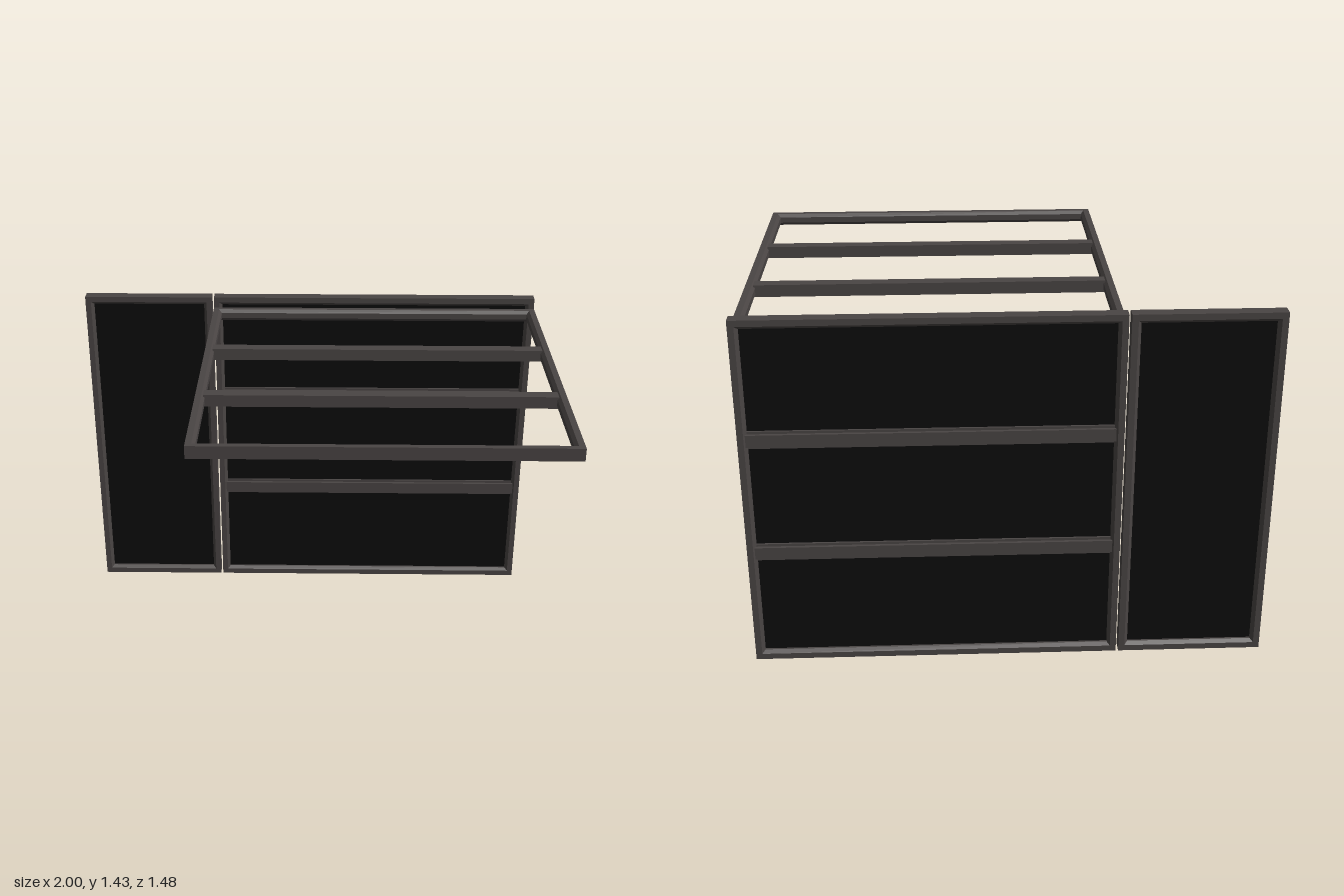
import * as THREE from 'three';

const DEPTH = 0.05;

// Mitred rectangular frame with a bevelled inner edge, centred on the origin in XY
function frameGeometry(w, h) {
  const d = DEPTH / 2, lip = 0.012;
  const profile = [[0, -d], [0, d], [0.024, d], [0.036, lip], [0.036, -lip], [0.024, -d]]; // [inset, z]
  const signs = [[-1, -1], [1, -1], [1, 1], [-1, 1]];
  const point = (i, k) => {
    const [inset, z] = profile[i % profile.length];
    const [sx, sy] = signs[k % 4];
    return [sx * (w / 2 - inset), sy * (h / 2 - inset), z];
  };
  const positions = [];
  for (let i = 0; i < profile.length; i++) {
    for (let k = 0; k < 4; k++) {
      const a = point(i, k), b = point(i, k + 1), c = point(i + 1, k + 1), e = point(i + 1, k);
      positions.push(...a, ...b, ...c, ...a, ...c, ...e);
    }
  }
  const geometry = new THREE.BufferGeometry();
  geometry.setAttribute('position', new THREE.Float32BufferAttribute(positions, 3));
  geometry.computeVertexNormals();
  return geometry;
}

export function createModel() {
  const model = new THREE.Group();
  model.name = 'framedScreenWithCanopy';
  const metal = new THREE.MeshStandardMaterial({ color: 0x4a4544 });
  metal.name = 'charcoal metal';
  const black = new THREE.MeshStandardMaterial({ color: 0x0c0c0c });
  black.name = 'black panel';

  const add = (parent, name, geometry, material, x = 0, y = 0, z = 0) => {
    const mesh = new THREE.Mesh(geometry, material);
    mesh.name = name;
    mesh.position.set(x, y, z);
    parent.add(mesh);
    return mesh;
  };

  // One framed section; rails are crossbar heights measured from its centre
  function section(name, w, h, rails, filled) {
    const group = new THREE.Group();
    group.name = name;
    add(group, 'frame', frameGeometry(w, h), metal);
    const inner = w - 0.06;
    rails.forEach((y) => {
      add(group, 'crossbar', new THREE.BoxGeometry(inner, 0.05, DEPTH - 0.002), metal, 0, y);
      if (filled) add(group, 'crossbarLip', new THREE.BoxGeometry(inner, 0.07, 0.024), metal, 0, y);
    });
    if (filled) add(group, 'panel', new THREE.BoxGeometry(inner, h - 0.06, 0.008), black);
    model.add(group);
    return group;
  }

  const H = 1.43, wallZ = -0.715;

  // Upright wall: narrow side panel and wide panel with two crossbars
  section('sidePanel', 0.565, H, [], true).position.set(-0.7175, H / 2, wallZ);
  section('widePanel', 1.425, H, [0.48 - H / 2, 0.955 - H / 2], true).position.set(0.2875, H / 2, wallZ);

  // Open canopy frame projecting forward from the wide panel
  const canopyZ = 0.025;
  const canopy = section('canopy', 1.425, 1.425, [canopyZ + 0.215, canopyZ - 0.26], false);
  canopy.rotation.x = -Math.PI / 2;
  canopy.position.set(0.2875, 1.36, canopyZ);

  return model;
}
